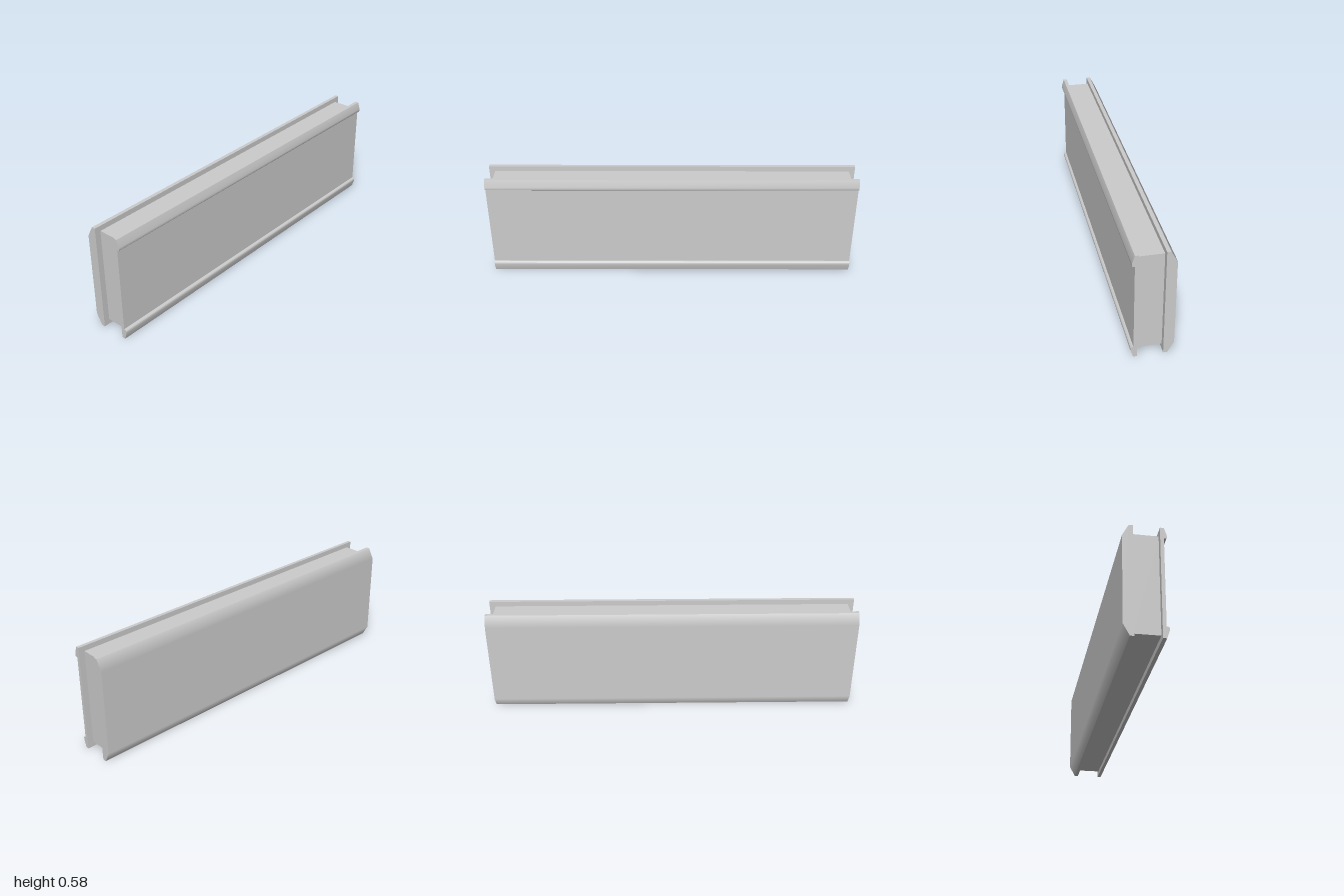
import * as THREE from 'three';
import { toCreasedNormals } from 'three/addons/utils/BufferGeometryUtils.js';

const HEIGHT = 0.583;

// Completes a [z, y] lower half profile by mirroring it about mid height,
// then extrudes it along x.
function extrudeProfile(lowerHalf, length) {
  const upperHalf = lowerHalf.map(([z, y]) => [z, HEIGHT - y]).reverse();
  const points = [...lowerHalf, ...upperHalf].map(([z, y]) => new THREE.Vector2(-z, y));
  const geometry = new THREE.ExtrudeGeometry(new THREE.Shape(points), {
    depth: length, bevelEnabled: false, steps: 1,
  });
  geometry.translate(0, 0, -length / 2);
  geometry.rotateY(Math.PI / 2);
  return toCreasedNormals(geometry, THREE.MathUtils.degToRad(35));
}

export function createModel() {
  const group = new THREE.Group();
  const material = new THREE.MeshStandardMaterial({ color: 0xcccccc });
  const add = (name, geometry) => {
    const mesh = new THREE.Mesh(geometry, material);
    mesh.name = name;
    group.add(mesh);
  };

  // Recessed core, set in from both covers on every edge
  const core = new THREE.BoxGeometry(1.936, 0.527, 0.129);
  core.translate(0, HEIGHT / 2, 0.0105);
  add('core', core);

  // Front cover: thin plate with a rounded lip along its top and bottom
  add('frontCover', extrudeProfile([
    [0.075, 0], [0.094, 0], [0.107, 0.04], [0.107, 0.052],
    [0.105, 0.056], [0.1, 0.059], [0.093, 0.059],
  ], 2));

  // Back cover: thick plate with bevelled long edges
  const back = extrudeProfile([[-0.054, 0], [-0.074, 0], [-0.106, 0.059]], 2);
  // Keep the flat face evenly shaded while the bevels blend into it
  const { position, normal } = back.attributes;
  for (let i = 0; i < position.count; i++) {
    if (position.getZ(i) < -0.1 && Math.abs(normal.getX(i)) < 0.5) normal.setXYZ(i, 0, 0, -1);
  }
  add('backCover', back);

  return group;
}
